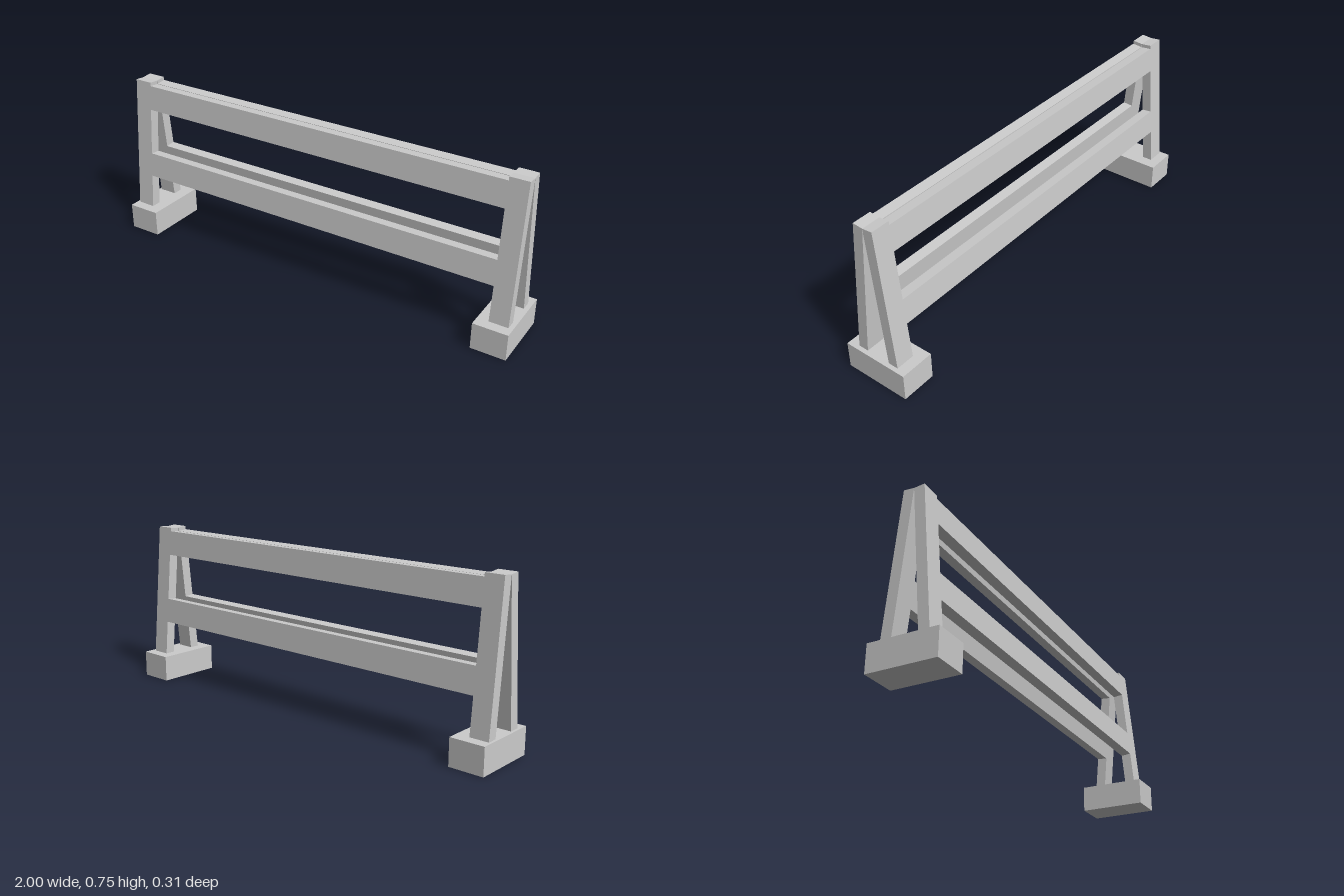
import * as THREE from 'three';

const material = new THREE.MeshStandardMaterial({ color: 0xcccccc, flatShading: true });

function box(name, w, h, d, x, y, z) {
  const mesh = new THREE.Mesh(new THREE.BoxGeometry(w, h, d), material);
  mesh.name = name;
  mesh.position.set(x, y, z);
  return mesh;
}

export function createModel() {
  const model = new THREE.Group();
  model.name = 'barrier';

  const thick = 0.047;      // timber thickness
  const legW = 0.086;
  const legL = 0.65;
  const legX = 0.941;       // leg centre from the frame's middle
  const boardH = 0.117;
  const frameX = -0.004;    // frame sits slightly off centre on the feet
  const lean = Math.atan(0.058 / 0.633);

  // Foot blocks
  for (const side of [1, -1]) {
    model.add(box(side > 0 ? 'leftFoot' : 'rightFoot', 0.157, 0.122, 0.306, side * 0.9215, 0.061, 0));
  }

  // Two leaning frames that meet along the top
  for (const s of [1, -1]) {
    const frame = new THREE.Group();
    frame.name = s > 0 ? 'frontFrame' : 'backFrame';
    frame.position.set(frameX, 0.75, 0);
    frame.rotation.x = -s * lean;
    const z = s * thick / 2;

    for (const side of [1, -1]) {
      frame.add(box(side > 0 ? 'leftLeg' : 'rightLeg', legW, legL, thick, side * legX, -legL / 2, z));
    }

    // Boards fitted between the legs
    const boardL = 2 * legX - legW;
    frame.add(box('upperBoard', boardL, boardH, thick, 0, -0.0165 - boardH / 2, z));
    frame.add(box('lowerBoard', boardL, boardH, thick, 0, -0.355 - boardH / 2, z));
    model.add(frame);
  }

  return model;
}
